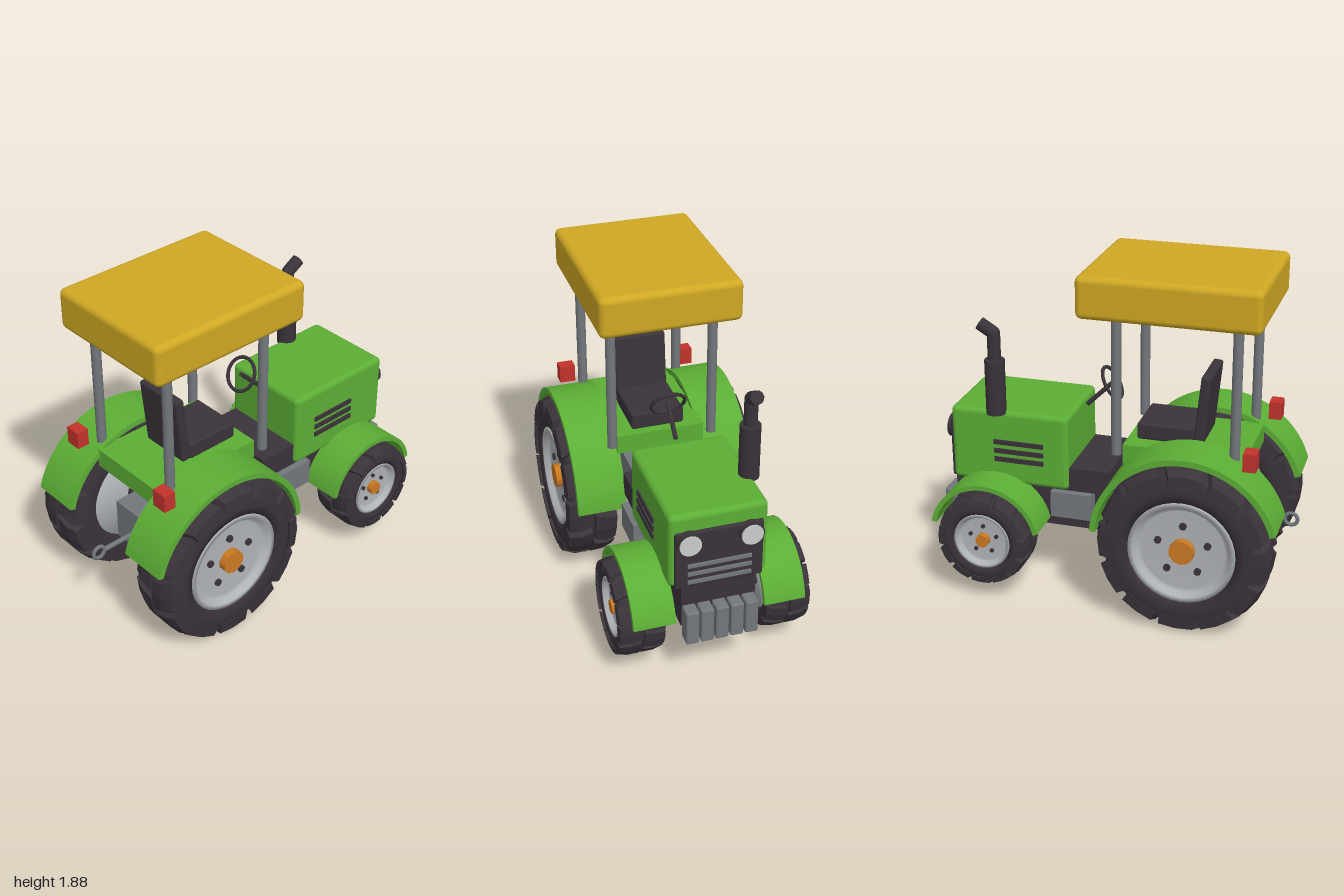
import * as THREE from 'three';
import { RoundedBoxGeometry } from 'three/addons/geometries/RoundedBoxGeometry.js';

const mat = (name, color, extra = {}) => {
  const m = new THREE.MeshStandardMaterial({ color, ...extra });
  m.name = name;
  return m;
};

export function createModel() {
  const green = mat('green paint', 0x5cae35);
  const yellow = mat('yellow roof', 0xcfa823);
  const dark = mat('dark rubber', 0x3a333a);
  const steel = mat('grey steel', 0x72777d);
  const rimGrey = mat('light rim', 0xb0b3b6);
  const orange = mat('orange hub', 0xcc7a22);
  const red = mat('red lamp', 0xc2322c);
  const glass = mat('headlight glass', 0xcacccd);

  const root = new THREE.Group();
  root.name = 'tractor';
  const add = (name, geo, m, x = 0, y = 0, z = 0, parent = root) => {
    const mesh = new THREE.Mesh(geo, m);
    mesh.name = name;
    mesh.position.set(x, y, z);
    parent.add(mesh);
    return mesh;
  };
  // box given by its limits, optionally rounded
  const box = (name, m, x0, x1, y0, y1, z0, z1, r = 0) => {
    const s = [x1 - x0, y1 - y0, z1 - z0];
    const geo = r ? new RoundedBoxGeometry(...s, 3, r) : new THREE.BoxGeometry(...s);
    return add(name, geo, m, (x0 + x1) / 2, (y0 + y1) / 2, (z0 + z1) / 2);
  };
  // cylinder between two points
  const rod = (name, m, a, b, r, sides = 20) => {
    const p = new THREE.Vector3(...a), q = new THREE.Vector3(...b);
    const d = q.clone().sub(p);
    const mesh = add(name, new THREE.CylinderGeometry(r, r, d.length(), sides), m);
    mesh.position.copy(p).add(q).multiplyScalar(0.5);
    mesh.quaternion.setFromUnitVectors(new THREE.Vector3(0, 1, 0), d.normalize());
    return mesh;
  };

  // --- Wheels: axis along z, outer face toward +z
  const disc = (r, h, sides) => new THREE.CylinderGeometry(r, r, h, sides).rotateX(Math.PI / 2);
  const ring = (pts, sides) =>
    new THREE.LatheGeometry(pts.map(p => new THREE.Vector2(...p)), sides).rotateX(Math.PI / 2);

  // tread block bent round the tyre, with its shoulder pulled in
  const lug = (R, W, side, angle, span) => {
    const g = new THREE.BoxGeometry(1, 1, 1, 2, 1, 2).toNonIndexed();
    const p = g.attributes.position;
    for (let i = 0; i < p.count; i++) {
      const u = p.getX(i), top = p.getY(i) > 0, w = p.getZ(i) + 0.5;
      const shoulder = w > 0.9;
      const r = R * (top ? (shoulder ? 0.95 : 1) : (shoulder ? 0.82 : 0.88));
      const a = angle + u * span * (top ? 0.86 : 1) + (w - 0.5) * span * 0.2 * side;
      const z = side * W * (0.06 + 0.94 * (shoulder && top ? 0.94 : w));
      p.setXYZ(i, -Math.sin(a) * side * r, -Math.cos(a) * r, z);
    }
    g.computeVertexNormals();
    return g;
  };

  const wheel = (name, R, W, x, y, z, s) => {
    const g = new THREE.Group();
    g.name = name;
    g.position.set(x, y, z * s);
    if (s < 0) g.rotation.y = Math.PI;
    root.add(g);
    const r = R * 0.61;
    add('tyre', ring([[r, -W * 0.8], [R * 0.72, -W * 0.9], [R * 0.88, -W * 0.85], [R * 0.92, -W * 0.65],
      [R * 0.92, W * 0.65], [R * 0.88, W * 0.85], [R * 0.72, W * 0.9], [r, W * 0.8], [r, -W * 0.8]].reverse(), 36),
    mat2(dark), 0, 0, 0, g);
    const count = 12, step = Math.PI * 2 / count;
    for (let i = 0; i < count; i++) {
      add('outerTread', lug(R, W, 1, i * step, step * 0.92), dark, 0, 0, 0, g);
      add('innerTread', lug(R, W, -1, (i + 0.5) * step, step * 0.92), dark, 0, 0, 0, g);
    }
    // rim with a raised lip and a stepped dish
    add('rim', ring([[0, -W * 0.72], [r * 1.01, -W * 0.72], [r * 1.01, W * 0.84], [r * 0.92, W * 0.84],
      [r * 0.88, W * 0.62], [r * 0.82, W * 0.62], [r * 0.8, W * 0.55], [0, W * 0.55]], 36), mat2(rimGrey), 0, 0, 0, g);
    add('hubCap', disc(R * 0.145, W * 0.3, 10), orange, 0, 0, W * 0.68, g);
    add('innerHub', disc(R * 0.11, W * 0.3, 12), dark, 0, 0, -W * 0.8, g);
    for (let i = 0; i < 5; i++) {
      const a = Math.PI / 2 + i * Math.PI * 0.4;
      add('wheelBolt', disc(R * 0.043, W * 0.12, 8), dark,
        Math.cos(a) * R * 0.3, Math.sin(a) * R * 0.3, W * 0.59, g);
    }
  };
  // lathed parts are faceted and seen from both sides
  const cache = new Map();
  function mat2(m) {
    if (!cache.has(m)) {
      m.side = THREE.DoubleSide;
      cache.set(m, m);
    }
    return m;
  }

  // --- Mudguards
  const fender = (name, x, y, ro, ri, a0, a1, z0, z1, s) => {
    const sh = new THREE.Shape();
    const d = Math.PI / 180;
    sh.absarc(0, 0, ro, a0 * d, a1 * d, false);
    sh.absarc(0, 0, ri, a1 * d, a0 * d, true);
    const geo = new THREE.ExtrudeGeometry(sh, { depth: z1 - z0, bevelEnabled: false, curveSegments: 32 });
    add(name, geo, green, x, y, s > 0 ? z0 : -z1);
  };

  for (const s of [1, -1]) {
    const n = s > 0 ? 'Near' : 'Far';
    wheel('rearWheel' + n, 0.47, 0.146, -0.467, 0.48, 0.409, s);
    wheel('frontWheel' + n, 0.262, 0.128, 0.66, 0.366, 0.398, s);
    fender('rearFender' + n, -0.467, 0.49, 0.51, 0.478, 4, 163.5, 0.235, 0.51, s);
    fender('frontFender' + n, 0.66, 0.366, 0.315, 0.288, 12, 168, 0.24, 0.465, s);
    // roof posts, tail lamps, side boxes
    rod('rearPost', steel, [-0.685, 0.9, 0.285 * s], [-0.685, 1.68, 0.285 * s], 0.027);
    rod('frontPost', steel, [-0.045, 0.89, 0.285 * s], [-0.045, 1.68, 0.285 * s], 0.027);
    box('tailLamp', red, -0.82, -0.75, 0.93, 1.03, 0.36 * s - 0.045, 0.36 * s + 0.045);
    box('sideBox', steel, 0.105, 0.335, 0.46, 0.61, 0.235 * s - 0.045, 0.235 * s + 0.045);
    // bonnet vents
    for (const y of [0.762, 0.812, 0.864])
      box('bonnetVent', dark, 0.377, 0.66, y - 0.013, y + 0.013, 0.265 * s - 0.008, 0.265 * s + 0.008);
    // headlights
    rod('headlightHousing', dark, [0.9, 0.89, 0.163 * s], [0.95, 0.89, 0.163 * s], 0.066, 24);
    rod('headlightGlass', glass, [0.94, 0.89, 0.163 * s], [0.957, 0.89, 0.163 * s], 0.058, 24);
  }

  // --- Chassis and bodywork
  box('chassis', dark, 0.01, 0.92, 0.37, 0.7, -0.2, 0.2);
  box('cabFloor', dark, 0.01, 0.39, 0.61, 0.745, -0.24, 0.24);
  box('rearHousing', steel, -0.72, 0.02, 0.39, 0.63, -0.14, 0.14);
  box('seatPlatform', green, -0.74, -0.07, 0.82, 0.93, -0.25, 0.25);
  box('bonnet', green, 0.238, 0.91, 0.614, 1.045, -0.263, 0.263, 0.03);
  box('grille', dark, 0.89, 0.928, 0.612, 0.95, -0.235, 0.235, 0.012);
  for (const y of [0.65, 0.7, 0.75])
    box('grilleBar', steel, 0.92, 0.938, y - 0.01, y + 0.01, -0.17, 0.17);
  for (let i = -2; i <= 2; i++)
    box('frontWeight', steel, 0.915, 1, 0.3, 0.5, i * 0.08 - 0.035, i * 0.08 + 0.035, 0.01);

  // --- Roof
  box('roof', yellow, -0.82, 0.15, 1.655, 1.885, -0.388, 0.388, 0.035);

  // --- Seat
  box('seatCushion', dark, -0.435, -0.12, 0.925, 1.022, -0.15, 0.15, 0.015);
  box('seatBack', dark, -0.503, -0.447, 0.93, 1.322, -0.15, 0.15, 0.015).rotation.z = 0.1;

  // --- Steering
  rod('steeringColumn', dark, [0.062, 1.175, 0], [0.205, 1.035, 0], 0.013, 10);
  const rim = add('steeringWheel', new THREE.TorusGeometry(0.094, 0.01, 8, 32), dark, 0.062, 1.175, 0);
  rim.quaternion.setFromUnitVectors(new THREE.Vector3(0, 0, 1), new THREE.Vector3(0.86, -0.51, 0).normalize());

  // --- Exhaust
  rod('exhaustMuffler', dark, [0.645, 1.03, -0.25], [0.645, 1.34, -0.25], 0.055, 16);
  rod('exhaustPipe', dark, [0.645, 1.33, -0.25], [0.645, 1.49, -0.25], 0.036, 12);
  add('exhaustElbow', new THREE.SphereGeometry(0.036, 12, 8), dark, 0.645, 1.49, -0.25);
  rod('exhaustTip', dark, [0.645, 1.49, -0.25], [0.722, 1.537, -0.25], 0.036, 12);

  // --- Hitch
  rod('hitchBar', steel, [-0.92, 0.49, 0], [-0.7, 0.49, 0], 0.014, 10);
  add('hitchRing', new THREE.TorusGeometry(0.035, 0.011, 8, 20), steel, -0.954, 0.49, 0);

  return root;
}
